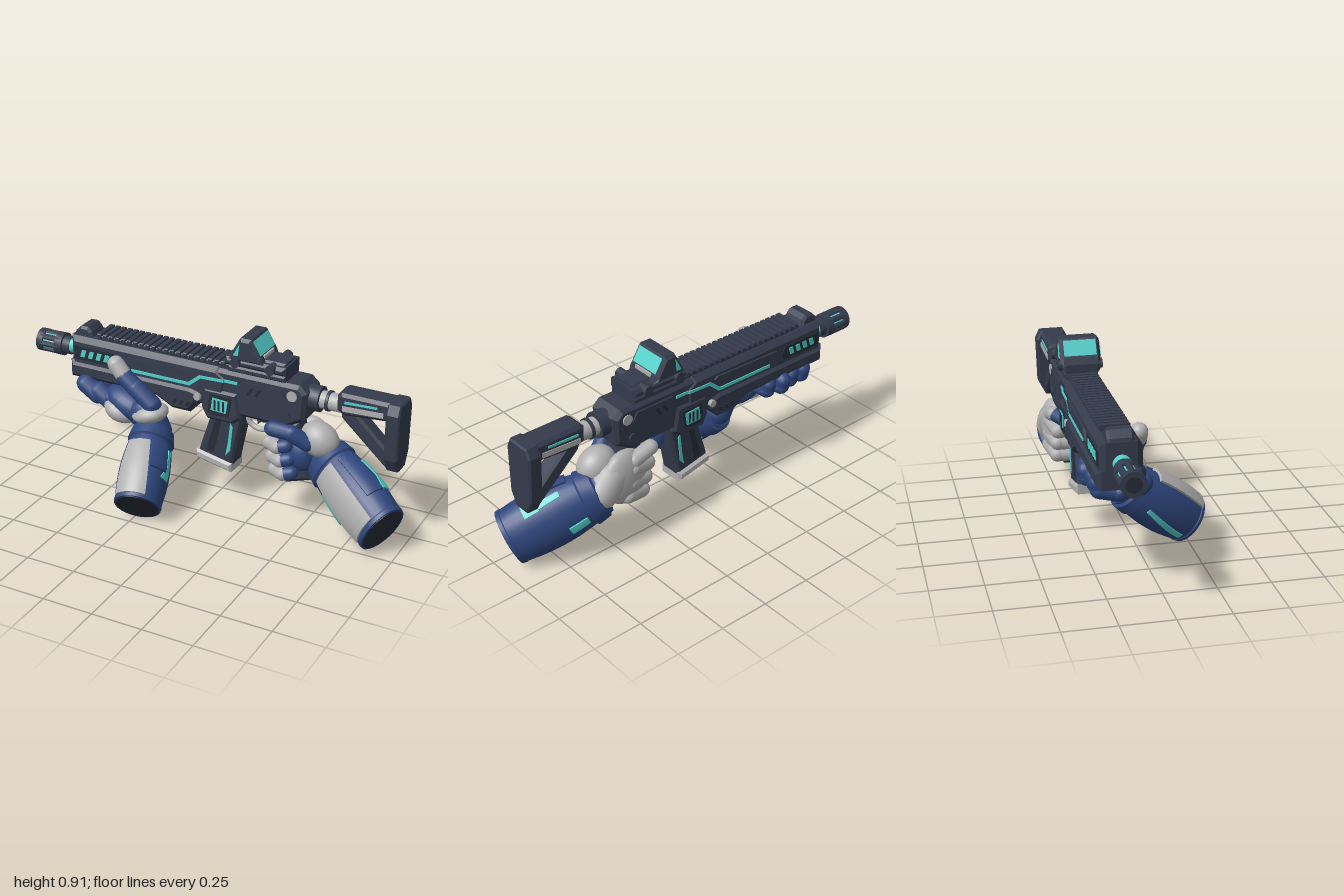
import * as THREE from 'three';
import { toCreasedNormals } from 'three/addons/utils/BufferGeometryUtils.js';

const paint = (name, color) => Object.assign(new THREE.MeshStandardMaterial({ color }), { name });
const GUN = paint('gunmetal', 0x343b4c), DARK = paint('dark recess', 0x262c37), BLUE = paint('glove blue', 0x2f477d);
const GREY = paint('armour grey', 0xb0b0b0), CYAN = paint('cyan glow', 0x52cfca);
const V = (x, y, z) => new THREE.Vector3(x, y, z);

function add(parent, name, geo, mat) {
  const m = new THREE.Mesh(geo, mat);
  m.name = name;
  parent.add(m);
  return m;
}
// Side profile in x/y, extruded symmetrically in z with chamfered edges
function prof(parent, name, mat, pts, half, b = 0.012, z = 0) {
  const shape = new THREE.Shape(pts.map(p => new THREE.Vector2(...p)));
  const geo = new THREE.ExtrudeGeometry(shape, {
    depth: 2 * (half - b), bevelEnabled: b > 0, bevelSize: b, bevelThickness: b, bevelOffset: -b, bevelSegments: 1 });
  geo.translate(0, 0, z - half + b);
  return add(parent, name, geo, mat);
}
const rect = (x0, x1, y0, y1) => [[x0, y0], [x1, y0], [x1, y1], [x0, y1]];
const block = (p, name, mat, x0, x1, y0, y1, half, b = 0.01) => prof(p, name, mat, rect(x0, x1, y0, y1), half, b);
// Same thin plate on both flanks
function decal(p, name, mat, pts, z, half = 0.004) {
  for (const s of [1, -1]) prof(p, name, mat, pts, half, 0, s * z);
}
function rod(p, name, mat, x0, x1, y, r, seg = 20, z = 0) {
  const g = new THREE.CylinderGeometry(r, r, x1 - x0, seg).rotateZ(Math.PI / 2).translate((x0 + x1) / 2, y, z);
  add(p, name, toCreasedNormals(g, 0.6), mat);
}
function pin(p, name, mat, x, y, r, half) {
  add(p, name, toCreasedNormals(new THREE.CylinderGeometry(r, r, half * 2, 12).rotateX(Math.PI / 2).translate(x, y, 0), 0.6), mat);
}
// Rounded limb segment between two points
function capsule(p, name, mat, a, b, r) {
  const d = b.clone().sub(a);
  const m = add(p, name, new THREE.CapsuleGeometry(r, d.length(), 5, 12), mat);
  m.position.copy(a).addScaledVector(d, 0.5);
  m.quaternion.setFromUnitVectors(V(0, 1, 0), d.normalize());
}
function finger(p, name, pts, r, mats) {
  mats.forEach((m, i) => capsule(p, name, m, V(...pts[i]), V(...pts[i + 1]), r * (1 - 0.05 * i)));
}
function lump(p, name, mat, pos, size, rot = [0, 0, 0]) {
  const m = add(p, name, new THREE.SphereGeometry(1, 20, 14), mat);
  m.scale.set(...size);
  m.position.set(...pos);
  m.rotation.set(...rot);
}
// Skin a series of equal closed loops and cap both ends
function skin(rings) {
  const pos = [], n = rings[0].length, tri = (...v) => v.forEach(q => pos.push(q.x, q.y, q.z));
  const mid = r => r.reduce((s, q) => s.add(q), V(0, 0, 0)).divideScalar(n);
  const first = rings[0], last = rings[rings.length - 1], c0 = mid(first), c1 = mid(last);
  for (let j = 0; j < n; j++) {
    const k = (j + 1) % n;
    for (let i = 0; i + 1 < rings.length; i++) {
      const A = rings[i], B = rings[i + 1];
      tri(A[j], A[k], B[k]);
      tri(A[j], B[k], B[j]);
    }
    tri(c0, first[k], first[j]);
    tri(c1, last[j], last[k]);
  }
  const g = new THREE.BufferGeometry();
  g.setAttribute('position', new THREE.Float32BufferAttribute(pos, 3));
  return toCreasedNormals(g, 0.6);
}

// Forearm: local z runs from wrist to cut end, local x follows "ref"
function forearm(root, name, wrist, end, ref, ru, rv, plates) {
  const T = end.clone().sub(wrist), L = T.length();
  T.normalize();
  const U = ref.clone().addScaledVector(T, -ref.dot(T)).normalize(), W = T.clone().cross(U);
  const g = new THREE.Group();
  g.name = name;
  g.position.copy(wrist);
  g.quaternion.setFromRotationMatrix(new THREE.Matrix4().makeBasis(U, W, T));
  root.add(g);
  const swell = t => 0.83 + 0.26 * Math.sin(Math.PI * t * 0.86) + 0.06 * t;
  const at = (deg, t, off) => {
    const a = deg * Math.PI / 180, s = swell(t);
    return V((ru * s + off) * Math.cos(a), (rv * s + off) * Math.sin(a), t * L);
  };
  const ring = (t, off) => Array.from({ length: 28 }, (_, i) => at(i * 360 / 28, t, off));
  const steps = (a, b, n) => Array.from({ length: n + 1 }, (_, i) => a + (b - a) * i / n);
  add(g, 'sleeve', skin(steps(0, 1, 12).map(t => ring(t, 0))), BLUE);
  add(g, 'wristCuff', skin([[0.02, 0], [0.04, 0.011], [0.17, 0.011], [0.19, 0]].map(q => ring(...q))), BLUE);
  add(g, 'sleeveHem', skin([[0.95, 0], [0.96, 0.004], [1, 0.004]].map(q => ring(...q))), BLUE);
  add(g, 'cutEnd', skin([ring(0.99, -0.006), ring(1.006, -0.006)]), DARK);
  // Curved plates: [name, material, t0, t1, centre angle at t0, at t1, half span at t0, at t1, height]
  for (const [pn, mat, t0, t1, c0, c1, h0, h1, off] of plates) {
    add(g, pn, skin(steps(t0, t1, 8).map(t => {
      const f = (t - t0) / (t1 - t0), c = c0 + (c1 - c0) * f, h = h0 + (h1 - h0) * f;
      const arc = steps(c - h, c + h, 8);
      return [...arc.map(a => at(a, t, off)), ...arc.reverse().map(a => at(a, t, -0.012))];
    })), mat);
  }
}

function buildRifle(root) {
  const g = new THREE.Group();
  g.name = 'rifle';
  g.position.z = -0.187;
  root.add(g);
  // Muzzle and barrel
  rod(g, 'barrel', CYAN, -0.85, -0.74, 0.645, 0.04);
  rod(g, 'muzzleCore', CYAN, -0.98, -0.86, 0.64, 0.048);
  rod(g, 'muzzleTip', GUN, -1, -0.965, 0.64, 0.058);
  rod(g, 'muzzleBore', DARK, -1.002, -0.99, 0.64, 0.036);
  rod(g, 'muzzleBase', GUN, -0.895, -0.855, 0.64, 0.058);
  rod(g, 'muzzleNeck', GUN, -0.86, -0.815, 0.64, 0.046);
  for (let i = 0; i < 8; i++) {
    const a = i * Math.PI / 4;
    rod(g, 'muzzleRib', GUN, -0.98, -0.87, 0.64 + 0.043 * Math.sin(a), 0.016, 8, 0.043 * Math.cos(a));
  }
  // Handguard: narrow upper body on a wider lower body
  prof(g, 'handguard', GUN, [[-0.77, 0.54], [0.08, 0.55], [0.1, 0.7], [0.04, 0.74], [-0.77, 0.74]], 0.095, 0.025);
  prof(g, 'lowerHandguard', GUN, [[-0.77, 0.525], [-0.29, 0.525], [-0.2, 0.478], [-0.1, 0.478], [-0.06, 0.53],
    [-0.04, 0.6], [-0.1, 0.615], [-0.77, 0.615]], 0.109, 0.022);
  prof(g, 'frontSight', GUN, [[-0.77, 0.72], [-0.65, 0.72], [-0.67, 0.765], [-0.69, 0.785], [-0.73, 0.785], [-0.76, 0.755]], 0.06);
  decal(g, 'ventPanel', DARK, [[-0.745, 0.625], [-0.52, 0.625], [-0.5, 0.655], [-0.52, 0.695], [-0.745, 0.695]], 0.094);
  for (let i = 0; i < 4; i++) {
    const x = -0.71 + i * 0.044;
    decal(g, 'vent', CYAN, [[x, 0.643], [x + 0.024, 0.643], [x + 0.036, 0.68], [x + 0.012, 0.68]], 0.098);
  }
  decal(g, 'upperRidge', GUN, [[-0.5, 0.652], [-0.12, 0.652], [-0.07, 0.692], [-0.09, 0.705], [-0.46, 0.695]], 0.096, 0.008);
  decal(g, 'glowStrip', CYAN, [[-0.42, 0.622], [-0.1, 0.622], [-0.04, 0.672], [0.08, 0.676], [0.08, 0.69],
    [-0.05, 0.686], [-0.11, 0.637], [-0.42, 0.637]], 0.096);
  for (let i = 0; i < 3; i++) {
    const x = -0.19 + i * 0.035;
    decal(g, 'lowerSlot', DARK, [[x, 0.515], [x + 0.018, 0.515], [x + 0.03, 0.54], [x + 0.012, 0.54]], 0.109);
  }
  // Top rail
  block(g, 'railBed', GUN, -0.63, 0.09, 0.72, 0.76, 0.064, 0.005);
  for (let i = 0; i < 21; i++) block(g, 'railTooth', GUN, -0.63 + i * 0.034, -0.607 + i * 0.034, 0.745, 0.77, 0.07, 0.004);
  // Receiver
  prof(g, 'receiver', GUN, [[-0.08, 0.53], [0.17, 0.51], [0.4, 0.51], [0.49, 0.56], [0.5, 0.7], [0.46, 0.735], [-0.08, 0.735]], 0.088, 0.018);
  decal(g, 'receiverGlow', CYAN, [[0.08, 0.676], [0.15, 0.676], [0.15, 0.69], [0.08, 0.69]], 0.089);
  decal(g, 'ejectionPanel', GUN, [[0.17, 0.62], [0.37, 0.62], [0.4, 0.66], [0.38, 0.7], [0.17, 0.7]], 0.088, 0.008);
  for (const x of [0.2, 0.24]) decal(g, 'panelSlot', DARK, [[x, 0.64], [x + 0.016, 0.64], [x + 0.04, 0.68], [x + 0.024, 0.68]], 0.095);
  prof(g, 'magazineWell', GUN, [[-0.03, 0.63], [0.15, 0.63], [0.17, 0.5], [0.13, 0.465], [-0.01, 0.465], [-0.04, 0.52]], 0.1, 0.015);
  decal(g, 'wellFrame', DARK, [[0, 0.51], [0.03, 0.495], [0.11, 0.505], [0.125, 0.6], [0.01, 0.605]], 0.1);
  decal(g, 'wellWindow', CYAN, [[0.018, 0.523], [0.098, 0.52], [0.108, 0.585], [0.026, 0.59]], 0.104);
  for (const x of [0.035, 0.058, 0.081]) decal(g, 'windowBar', DARK, rect(x, x + 0.009, 0.528, 0.58), 0.108, 0.003);
  pin(g, 'selector', GREY, 0.43, 0.68, 0.026, 0.094);
  pin(g, 'takedownPin', GREY, -0.055, 0.575, 0.018, 0.113);
  pin(g, 'rearPin', GUN, 0.4, 0.575, 0.022, 0.095);
  // Magazine
  prof(g, 'magazine', GUN, [[0, 0.5], [0.165, 0.5], [0.135, 0.36], [0.108, 0.22], [-0.075, 0.26], [-0.04, 0.37]], 0.058);
  decal(g, 'magazineRib', DARK, [[0.02, 0.45], [0.05, 0.45], [0.01, 0.27], [-0.03, 0.28]], 0.057);
  decal(g, 'magazineGlow', CYAN, [[0.1, 0.45], [0.113, 0.43], [0.1, 0.3], [0.075, 0.27], [0.088, 0.34]], 0.058);
  prof(g, 'magazineBase', GREY, [[-0.085, 0.27], [0.108, 0.23], [0.108, 0.182], [-0.082, 0.222]], 0.07);
  // Trigger, guard and grip
  const guard = new THREE.CatmullRomCurve3([V(0.165, 0.52, 0), V(0.175, 0.45, 0), V(0.22, 0.425, 0), V(0.28, 0.44, 0), V(0.32, 0.5, 0)]);
  add(g, 'triggerGuard', new THREE.TubeGeometry(guard, 20, 0.014, 8), GREY);
  prof(g, 'trigger', GUN, [[0.215, 0.52], [0.245, 0.52], [0.24, 0.47], [0.22, 0.45]], 0.014, 0.004);
  prof(g, 'pistolGrip', GUN, [[0.31, 0.53], [0.45, 0.53], [0.48, 0.4], [0.52, 0.24], [0.39, 0.195], [0.34, 0.36]], 0.055, 0.018);
  // Stock on its tube
  rod(g, 'stockTube', GREY, 0.47, 0.68, 0.655, 0.043);
  rod(g, 'stockCollar', GUN, 0.48, 0.545, 0.655, 0.062);
  rod(g, 'stockRing', GUN, 0.575, 0.59, 0.655, 0.05);
  prof(g, 'stockBeam', GUN, [[0.64, 0.72], [0.66, 0.735], [0.92, 0.735], [0.92, 0.645], [0.68, 0.625], [0.64, 0.645]], 0.062, 0.015);
  decal(g, 'stockTrim', GREY, [[0.67, 0.65], [0.87, 0.66], [0.87, 0.685], [0.67, 0.676]], 0.062);
  decal(g, 'stockGlow', CYAN, [[0.68, 0.69], [0.84, 0.697], [0.84, 0.707], [0.68, 0.702]], 0.062);
  prof(g, 'stockStrut', GUN, [[0.65, 0.65], [0.72, 0.65], [0.92, 0.46], [0.92, 0.395], [0.88, 0.4], [0.66, 0.6]], 0.042);
  const butt = prof(g, 'buttPlate', GUN, [[-0.06, 0.735], [-0.083, 0.69], [-0.075, 0.46], [-0.038, 0.39],
    [0.038, 0.39], [0.075, 0.46], [0.083, 0.69], [0.06, 0.735]], 0.034, 0.008);
  butt.rotation.y = Math.PI / 2;
  butt.position.x = 0.92;
  // Optic with glass on both sloped faces
  block(g, 'opticMount', GUN, 0.09, 0.39, 0.73, 0.765, 0.08);
  block(g, 'opticBody', GUN, 0.08, 0.39, 0.765, 0.808, 0.09, 0.015);
  block(g, 'opticRear', GUN, 0.27, 0.38, 0.79, 0.818, 0.06);
  for (const x of [0.14, 0.32]) pin(g, 'mountKnob', GUN, x, 0.792, 0.024, 0.106);
  prof(g, 'opticHood', GUN, [[0.1, 0.8], [0.28, 0.8], [0.265, 0.835], [0.215, 0.917], [0.16, 0.917], [0.115, 0.835]], 0.097, 0.015);
  decal(g, 'hoodSideGlass', CYAN, [[0.13, 0.83], [0.155, 0.83], [0.163, 0.893]], 0.097);
  for (const [x, tilt] of [[0.1385, -0.502], [0.239, 0.547]]) {
    const pane = add(g, 'opticGlass', new THREE.BoxGeometry(0.008, 0.076, 0.155), CYAN);
    pane.position.set(x, 0.873, 0);
    pane.rotation.z = tilt;
  }
  block(g, 'opticShelf', GREY, 0.24, 0.272, 0.82, 0.838, 0.055, 0.004);
}

function buildSupportHand(root) {
  const g = new THREE.Group();
  g.name = 'supportHand';
  root.add(g);
  capsule(g, 'wrist', BLUE, V(-0.28, 0.34, -0.07), V(-0.33, 0.44, -0.07), 0.082);
  lump(g, 'palm', BLUE, [-0.42, 0.45, -0.1], [0.15, 0.075, 0.1], [0, 0, -0.35]);
  lump(g, 'backPlate', GREY, [-0.47, 0.42, -0.085], [0.095, 0.06, 0.1], [0, 0, -0.4]);
  lump(g, 'wristGuard', GREY, [-0.3, 0.445, -0.055], [0.095, 0.05, 0.085], [0, 0, 0.25]);
  // Thumb along the near flank
  finger(g, 'thumb', [[-0.28, 0.5, -0.04], [-0.37, 0.57, -0.04], [-0.43, 0.615, -0.04], [-0.48, 0.67, -0.045]], 0.046, [BLUE, BLUE, GREY]);
  // Fingers curl under the handguard
  for (let i = 0; i < 4; i++) {
    const x = -0.685 + i * 0.075, y = 0.51 - i * 0.022, tip = i === 2 ? -0.29 : -0.27;
    finger(g, 'finger', [[x + 0.08, y - 0.045, -0.075], [x + 0.01, y, -0.075], [x + 0.02, 0.47, -0.18],
      [x + 0.03, 0.485, tip + 0.01], [x + 0.03, 0.52, tip]], 0.047, [BLUE, BLUE, BLUE, BLUE]);
  }
}

function buildTriggerHand(root) {
  const g = new THREE.Group();
  g.name = 'triggerHand';
  root.add(g);
  capsule(g, 'wrist', GREY, V(0.57, 0.34, -0.245), V(0.51, 0.4, -0.24), 0.088);
  lump(g, 'handBack', GREY, [0.44, 0.375, -0.262], [0.13, 0.145, 0.06], [0, 0.1, -0.4]);
  lump(g, 'thumbBase', GREY, [0.54, 0.445, -0.185], [0.1, 0.085, 0.08], [0, 0, -0.5]);
  lump(g, 'palm', BLUE, [0.46, 0.36, -0.2], [0.07, 0.11, 0.1], [0, 0, 0.2]);
  finger(g, 'thumb', [[0.5, 0.44, -0.13], [0.43, 0.49, -0.1], [0.34, 0.5, -0.085]], 0.04, [BLUE, BLUE]);
  finger(g, 'indexFinger', [[0.4, 0.46, -0.285], [0.31, 0.49, -0.285], [0.23, 0.475, -0.235]], 0.037, [GREY, BLUE]);
  // Three fingers wrap round the grip
  for (let i = 0; i < 3; i++) {
    const x = 0.3 + i * 0.016, y = 0.4 - i * 0.068;
    finger(g, 'gripFinger', [[x + 0.11, y + 0.02, -0.285], [x + 0.015, y, -0.265], [x + 0.01, y, -0.13],
      [x + 0.06, y, -0.102], [x + 0.1, y + 0.01, -0.11]], 0.04, [GREY, GREY, GREY, BLUE]);
  }
}

export function createModel() {
  const root = new THREE.Group();
  root.name = 'rifleWithArms';
  buildRifle(root);
  buildSupportHand(root);
  buildTriggerHand(root);
  forearm(root, 'supportForearm', V(-0.29, 0.345, -0.07), V(-0.2, 0.105, 0.255), V(1, 0, 0), 0.108, 0.118, [
    ['armPlate', GREY, 0.28, 0.96, 94, 92, 27, 38, 0.012],
    ['sidePlate', BLUE, 0.26, 0.6, 40, 36, 18, 20, 0.012],
    ['sideGlow', CYAN, 0.3, 0.58, 8, 6, 5, 6, 0.005],
    ['sideGlowFork', CYAN, 0.56, 0.68, 8, 14, 8, 13, 0.005],
    ['underGlow', CYAN, 0.3, 0.85, -60, -48, 5, 7, 0.005],
    ['outerGlow', CYAN, 0.3, 0.9, 195, 215, 5, 7, 0.005]]);
  forearm(root, 'triggerForearm', V(0.55, 0.335, -0.235), V(0.93, 0.14, -0.04), V(0, 1, 0), 0.138, 0.11, [
    ['armPlate', GREY, 0.22, 0.95, 72, 84, 28, 35, 0.01],
    ['plateGlow', CYAN, 0.35, 0.68, 108, 122, 5, 8, 0.006],
    ['topPlate', BLUE, 0.25, 0.75, 10, 8, 18, 20, 0.01],
    ['rearGlow', CYAN, 0.35, 0.6, -28, -34, 6, 6, 0.006],
    ['rearGlowFork', CYAN, 0.58, 0.74, -34, -30, 8, 14, 0.006],
    ['underGlow', CYAN, 0.22, 0.42, -105, -105, 8, 8, 0.006]]);
  return root;
}
